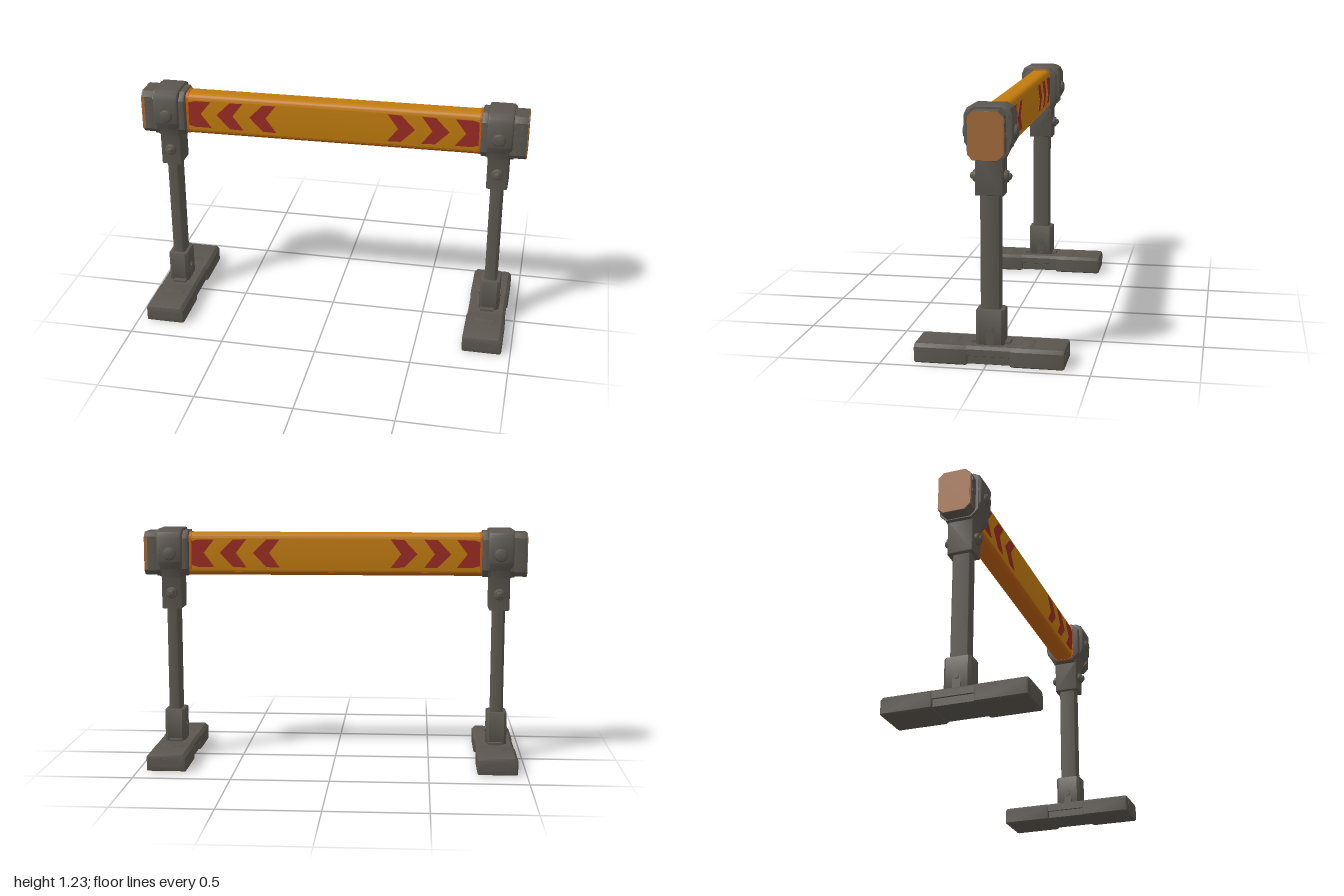
import * as THREE from 'three';
import { toCreasedNormals } from 'three/addons/utils/BufferGeometryUtils.js';

const mat = (name, color) => {
  const m = new THREE.MeshStandardMaterial({ color });
  m.name = name;
  return m;
};

// Rectangle with cut corners, listed counter-clockwise
const cutRect = (w, y0, y1, c, cBottom = c) => [
  [-w + cBottom, y0], [w - cBottom, y0], [w, y0 + cBottom], [w, y1 - c],
  [w - c, y1], [-w + c, y1], [-w, y1 - c], [-w, y0 + cBottom],
];
const toShape = (pts) => new THREE.Shape(pts.map((p) => new THREE.Vector2(...p)));

function roundRect(w, y0, y1, r) {
  const s = new THREE.Shape();
  s.absarc(w - r, y0 + r, r, -Math.PI / 2, 0);
  s.absarc(w - r, y1 - r, r, 0, Math.PI / 2);
  s.absarc(-w + r, y1 - r, r, Math.PI / 2, Math.PI);
  s.absarc(-w + r, y0 + r, r, Math.PI, Math.PI * 1.5);
  return s;
}

// Extrudes a shape from a to b along an axis, bevelled inward
function prism(shape, a, b, axis = 'z', bevel = 0) {
  const g = new THREE.ExtrudeGeometry(shape, {
    depth: b - a - 2 * bevel, bevelEnabled: bevel > 0, bevelThickness: bevel,
    bevelSize: bevel, bevelOffset: -bevel, bevelSegments: 2, curveSegments: 6,
  });
  g.translate(0, 0, a + bevel);
  if (axis === 'x') g.rotateY(Math.PI / 2);
  if (axis === 'y') g.rotateX(-Math.PI / 2);
  return toCreasedNormals(g, 0.6);
}

export function createModel() {
  const grey = mat('dark grey plastic', 0x5b564f);
  const yellow = mat('amber beam', 0xc17b0e);
  const red = mat('warning red', 0x982b22);
  const orange = mat('orange trim', 0xc0600f);
  const copper = mat('copper end', 0xa1683a);

  const model = new THREE.Group();
  model.name = 'barrier';
  const add = (parent, name, geo, material, x = 0, y = 0, z = 0) => {
    const m = new THREE.Mesh(geo, material);
    m.name = name;
    m.position.set(x, y, z);
    parent.add(m);
    return m;
  };

  // Beam, turned very slightly about the vertical
  const beam = new THREE.Group();
  beam.name = 'beam';
  beam.rotation.y = 0.0157;
  model.add(beam);
  add(beam, 'beamBody', prism(roundRect(0.055, 0.987, 1.208, 0.03), -0.9, 0.9, 'x'), yellow);
  for (const s of [-1, 1])
    add(beam, 'beamBand', prism(roundRect(0.058, 0.984, 1.211, 0.031), -0.008, 0.008, 'x'), orange, s * 0.762);

  // Orange skin wrapping the rounded underside
  const under = new THREE.Shape();
  under.absarc(0.025, 1.017, 0.0315, -Math.PI / 2, -Math.PI / 7);
  under.absarc(-0.025, 1.017, 0.0315, Math.PI * 8 / 7, Math.PI * 1.5);
  add(beam, 'beamUnderside', prism(under, -0.762, 0.762, 'x'), orange);

  // Chevrons point outward on both faces, the last one running into the clamp
  const chevron = prism(toShape([
    [0.29, 1.028], [0.36, 1.03], [0.43, 1.1], [0.36, 1.174],
    [0.29, 1.176], [0.345, 1.1],
  ]), 0.051, 0.0575);
  const endChevron = prism(toShape([
    [0.635, 1.03], [0.72, 1.03], [0.77, 1.045], [0.77, 1.16], [0.72, 1.174],
    [0.635, 1.174], [0.69, 1.1],
  ]), 0.051, 0.0575);
  for (const back of [0, 1]) {
    const face = new THREE.Group();
    face.name = back ? 'backChevrons' : 'frontChevrons';
    face.rotation.y = back * Math.PI;
    beam.add(face);
    [[chevron, 0], [chevron, 0.175], [endChevron, 0]].forEach(([geo, x]) => {
      add(face, 'chevron', geo, red, x);
      // A half turn about mid height makes the opposite arrow
      add(face, 'chevron', geo, red, -x, 2.203).rotation.z = Math.PI;
    });
  }

  // Domed bolt facing front or back
  const bolt = (parent, name, r, y, z, side) => {
    const profile = [[0, -0.03], [r, -0.03], [r, 0.006], [r * 0.85, 0.014], [r * 0.45, 0.018], [0, 0.018]]
      .map((p) => new THREE.Vector2(...p));
    const g = toCreasedNormals(new THREE.LatheGeometry(profile, 16), 0.6);
    g.rotateX(side * Math.PI / 2);
    add(parent, name, g, grey, 0, y, side * z);
  };

  const neckShape = toShape([
    [-0.066, 0.808], [0.066, 0.808], [0.066, 0.972], [0.1, 1.04], [-0.1, 1.04], [-0.066, 0.972],
  ]);
  const headShape = toShape([
    [-0.066, 0.98], [0.066, 0.98], [0.114, 1.06], [0.114, 1.185], [0.1, 1.215],
    [0.07, 1.231], [-0.07, 1.231], [-0.1, 1.215], [-0.114, 1.185], [-0.114, 1.06],
  ]);

  // One upright; x is measured from the post's centre, outward is +x
  function makeStand(name) {
    const s = new THREE.Group();
    s.name = name;

    // Foot: two blocks joined by a slightly narrower bridge
    const foot = new THREE.Group();
    foot.name = 'foot';
    foot.position.x = -0.008;
    s.add(foot);
    const block = prism(toShape(cutRect(0.103, 0, 0.092, 0.016, 0.006)), 0.1, 0.361, 'z', 0.012);
    const panel = prism(roundRect(0.07, 0.024, 0.066, 0.012), 0.359, 0.3625);
    const pad = prism(roundRect(0.055, -0.025, 0.025, 0.01), 0.088, 0.094, 'y', 0.002);
    for (const k of [0, 1]) {
      const half = new THREE.Group();
      half.name = k ? 'backFoot' : 'frontFoot';
      half.rotation.y = k * Math.PI;
      foot.add(half);
      add(half, 'footBlock', block, grey);
      add(half, 'footEndPanel', panel, grey);
      add(half, 'footPad', pad, grey, 0, 0, 0.18);
      add(half, 'footLug', new THREE.BoxGeometry(0.07, 0.02, 0.025), grey, 0, 0.094, 0.08);
    }
    add(foot, 'footBridge', prism(toShape(cutRect(0.099, 0.045, 0.092, 0.014, 0.002)), -0.115, 0.115), grey);
    add(foot, 'footBridgeBase', prism(toShape(cutRect(0.092, 0.006, 0.05, 0.002)), -0.115, 0.115), grey);

    // Post and its socket
    add(s, 'post', prism(roundRect(0.033, -0.049, 0.049, 0.018), 0.2, 0.85, 'y'), grey);
    add(s, 'socket', prism(toShape(cutRect(0.053, -0.068, 0.068, 0.014)), 0.08, 0.262, 'y', 0.008), grey);
    for (const k of [-1, 1]) {
      const slot = prism(roundRect(0.02, 0.09, 0.185, 0.019), 0.05, 0.055, 'x');
      add(s, 'socketTongue', slot, grey).rotation.y = k > 0 ? 0 : Math.PI;
      const pin = new THREE.CylinderGeometry(0.014, 0.016, 0.02, 14).rotateZ(-k * Math.PI / 2);
      add(s, 'socketPin', pin, grey, k * 0.049, 0.16);
    }

    // Clamp around the beam
    add(s, 'clampNeck', prism(neckShape, -0.054, 0.054, 'x', 0.008), grey);
    add(s, 'clampHead', prism(headShape, -0.063, 0.068, 'x', 0.01), grey);
    add(s, 'clampCollar', prism(toShape(cutRect(0.092, 0.982, 1.22, 0.04)), -0.093, -0.05, 'x', 0.008), grey);

    // Raised rim framing the outer cap
    const rim = toShape(cutRect(0.099, 0.982, 1.222, 0.035));
    rim.holes.push(toShape(cutRect(0.087, 0.994, 1.211, 0.03)));
    add(s, 'clampRim', prism(rim, 0.055, 0.074, 'x'), grey);

    // Outer cap with a coloured end plate and one coloured edge
    add(s, 'endCap', prism(toShape(cutRect(0.084, 0.986, 1.214, 0.026)), 0.05, 0.137, 'x', 0.003), grey);
    add(s, 'endCapFace', prism(toShape(cutRect(0.082, 0.988, 1.212, 0.026)), 0.134, 0.14, 'x'), copper);
    add(s, 'endCapEdge', new THREE.BoxGeometry(0.016, 0.17, 0.004), copper, 0.13, 1.1, -0.083);
    for (const k of [-1, 1])
      for (const y of [1.1, 1.165])
        add(s, 'capClip', new THREE.BoxGeometry(0.025, 0.018, 0.008), grey, 0.105, y, k * 0.084);

    // Bolts on both faces
    for (const side of [-1, 1]) {
      bolt(s, 'headBolt', 0.034, 1.102, 0.112, side);
      bolt(s, 'neckBolt', 0.03, 0.893, 0.069, side);
      bolt(s, 'neckBoltCentre', 0.017, 0.893, 0.08, side);
    }
    return s;
  }

  // The two uprights are half turns of each other
  ['leftStand', 'rightStand'].forEach((name, i) => {
    const k = i ? -1 : 1;
    const stand = makeStand(name);
    stand.position.set(k * 0.859, 0, k * -0.0135);
    stand.rotation.y = i * Math.PI;
    model.add(stand);
  });
  return model;
}
